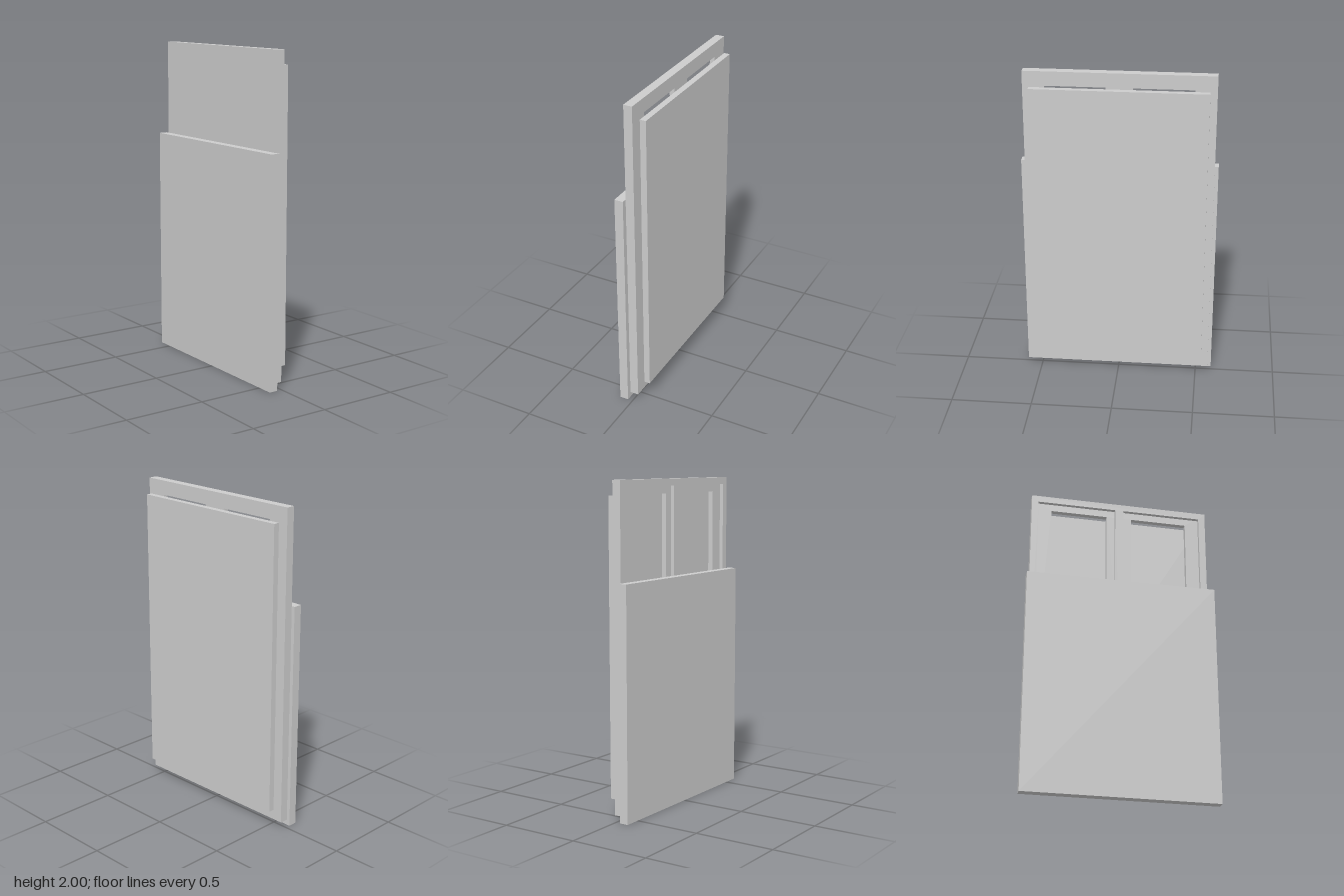
import * as THREE from 'three';

const material = new THREE.MeshStandardMaterial({ color: 0xcccccc });
const MID_Z = -0.005; // shared centre line of the frame and the front panel

function addMesh(group, name, geometry) {
  const mesh = new THREE.Mesh(geometry, material);
  mesh.name = name;
  group.add(mesh);
}

// Solid slab given by its limits in x and y and its width along z
function slab(x0, x1, y0, y1, width, z) {
  return new THREE.BoxGeometry(x1 - x0, y1 - y0, width)
    .translate((x0 + x1) / 2, (y0 + y1) / 2, z);
}

function trace(path, a, b, y0, y1) {
  path.moveTo(a, y0);
  path.lineTo(b, y0);
  path.lineTo(b, y1);
  path.lineTo(a, y1);
  path.closePath();
  return path;
}

// Upright plate from x0 to x1 with two mirrored openings, inner..outer from the centre
function doubleFrame(x0, x1, inner, outer, y0, y1) {
  const shape = trace(new THREE.Shape(), -0.573, 0.573, 0.035, 2);
  shape.holes.push(trace(new THREE.Path(), inner, outer, y0, y1));
  shape.holes.push(trace(new THREE.Path(), -outer, -inner, y0, y1));
  return new THREE.ExtrudeGeometry(shape, { depth: x1 - x0, bevelEnabled: false })
    .rotateY(Math.PI / 2)
    .translate(x0, 0, MID_Z);
}

export function createModel() {
  const model = new THREE.Group();
  model.name = 'slidingWindow';

  // Low solid board on the -x side
  addMesh(model, 'lowerBoard', slab(-0.086, -0.031, 0, 1.414, 1.2, 0));

  // Window: outer casing with centre post, and narrower sash openings behind it
  const frame = new THREE.Group();
  frame.name = 'windowFrame';
  addMesh(frame, 'casing', doubleFrame(-0.031, -0.008, 0.028, 0.53, 0.078, 1.957));
  addMesh(frame, 'sashes', doubleFrame(-0.008, 0.023, 0.08, 0.443, 0.123, 1.912));
  model.add(frame);

  // Tall free-standing panel on the +x side
  addMesh(model, 'frontPanel', slab(0.046, 0.084, 0.116, 1.91, 1.062, MID_Z));

  return model;
}
